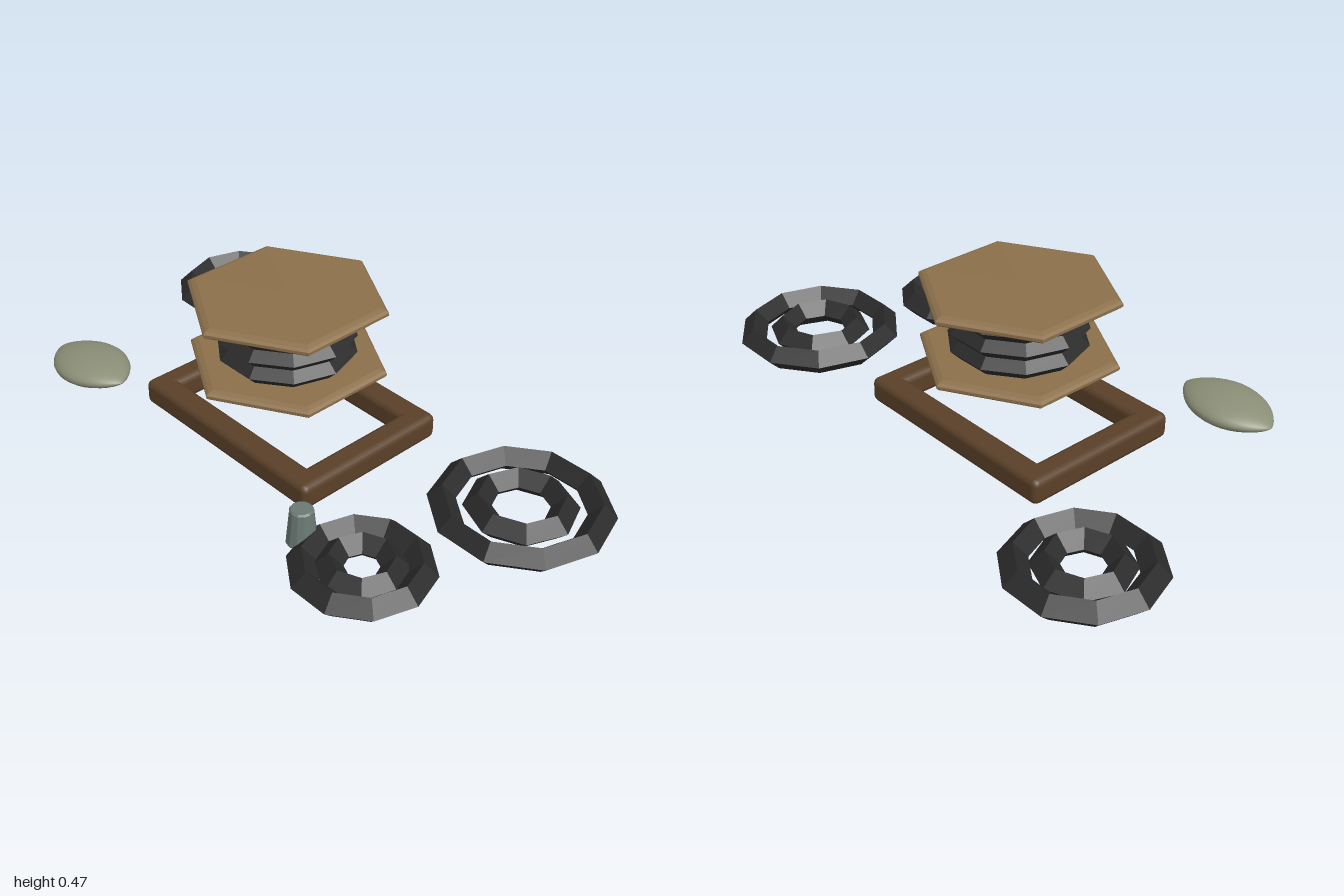
import * as THREE from 'three';
import { RoundedBoxGeometry } from 'three/addons/geometries/RoundedBoxGeometry.js';

const mat = (name, color) => {
  const m = new THREE.MeshStandardMaterial({ color });
  m.name = name;
  return m;
};

// faceted normals
function faceted(geo) {
  const g = geo.index ? geo.toNonIndexed() : geo;
  g.computeVertexNormals();
  return g;
}

// ring lying flat, with a diamond cross-section
function ringGeometry(major, tube, sides) {
  return faceted(new THREE.TorusGeometry(major, tube, 4, sides).rotateX(Math.PI / 2));
}

export function createModel() {
  const rubber = mat('blackRubber', 0x2b2b2c);
  const lightWood = mat('lightWood', 0x8b6f4a);
  const darkWood = mat('darkWood', 0x5a4028);
  const sage = mat('sageGreen', 0x8a8e76);
  const steel = mat('greyMetal', 0x6a7874);

  const model = new THREE.Group();
  const add = (parent, name, geo, material, x, y, z) => {
    const mesh = new THREE.Mesh(geo, material);
    mesh.name = name;
    mesh.position.set(x, y, z);
    parent.add(mesh);
    return mesh;
  };

  // spool: two hexagonal flanges with three stacked rings between
  const spool = new THREE.Group();
  spool.name = 'spool';
  spool.position.set(-0.087, 0, 0.032);
  model.add(spool);
  const flangeProfile = [[0, 0], [0.292, 0.002], [0.308, 0.008], [0.317, 0.015],
    [0.317, 0.024], [0.308, 0.031], [0.292, 0.037], [0, 0.039]]
    .map(([r, y]) => new THREE.Vector2(r, y));
  const flange = faceted(new THREE.LatheGeometry(flangeProfile, 6));
  add(spool, 'lowerFlange', flange, lightWood, 0, 0.217, 0);
  add(spool, 'upperFlange', flange, lightWood, 0, 0.43, 0);
  for (let i = 0; i < 3; i++) {
    add(spool, 'spoolRing', ringGeometry(0.188, 0.031, 10), rubber, 0, 0.285 + i * 0.0585, 0);
  }

  // rectangular frame on the ground
  const frame = new THREE.Group();
  frame.name = 'frame';
  frame.position.set(-0.09, 0.0425, 0.027);
  model.add(frame);
  for (const s of [-1, 1]) {
    add(frame, 'longBar', new RoundedBoxGeometry(0.76, 0.085, 0.083, 2, 0.022), darkWood, 0, 0, s * 0.233);
    add(frame, 'shortBar', new RoundedBoxGeometry(0.083, 0.085, 0.55, 2, 0.022), darkWood, s * 0.3385, 0, 0);
  }

  // flat coils: ten-sided outer ring around an eight-sided inner ring
  for (const [x, z, outer] of [[-0.77, -0.355, 0.19], [0.722, -0.142, 0.23], [0.595, 0.37, 0.168]]) {
    const coil = new THREE.Group();
    coil.name = 'coil';
    coil.position.set(x, 0.0425, z);
    add(coil, 'outerRing', ringGeometry(outer, 0.0425, 10), rubber, 0, 0, 0);
    add(coil, 'innerRing', ringGeometry(outer * 0.55, 0.0425, 8), rubber, 0, 0, 0);
    model.add(coil);
  }

  // almond-shaped pod, slightly tilted
  const podProfile = [];
  for (let i = 0; i <= 20; i++) {
    const t = -Math.cos((i / 20) * Math.PI);
    podProfile.push(new THREE.Vector2(Math.pow(Math.max(0, 1 - t * t), 0.72), t));
  }
  const podGeo = new THREE.LatheGeometry(podProfile, 24)
    .rotateZ(-Math.PI / 2).scale(0.163, 0.042, 0.111);
  add(model, 'pod', podGeo, sage, -0.6, 0.132, 0.412).rotation.z = 0.04;

  // tapered peg with softened rims
  const pegProfile = [[0, 0.028], [0.038, 0.028], [0.046, 0.036], [0.035, 0.145], [0.03, 0.15], [0, 0.15]]
    .map(([r, y]) => new THREE.Vector2(r, y));
  add(model, 'peg', faceted(new THREE.LatheGeometry(pegProfile, 12)), steel, 0.4, 0, 0.413);

  return model;
}
